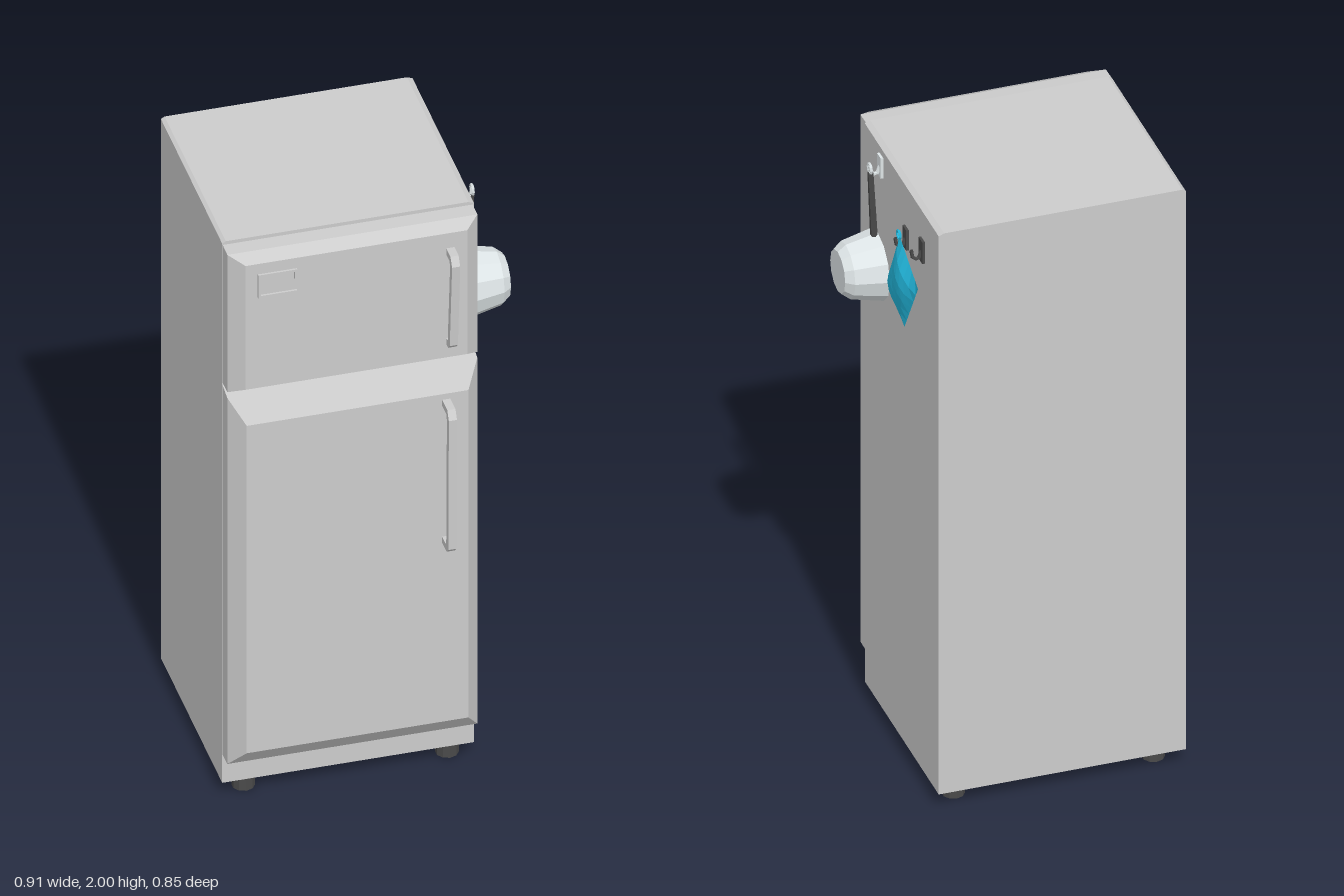
import * as THREE from 'three';

const mat = (color = 0xcccccc) =>
  new THREE.MeshStandardMaterial({ color, flatShading: true, side: THREE.DoubleSide });
const grey = mat(), dark = mat(0x4a4a4a), steel = mat(0xdde4e6), blue = mat(0x22b8dd);

function add(parent, name, geometry, material, x = 0, y = 0, z = 0) {
  const m = new THREE.Mesh(geometry, material);
  m.name = name;
  m.position.set(x, y, z);
  parent.add(m);
  return m;
}

// Closed block through rectangles [z, x0, x1, y0, y1], ordered back to front
function rectLoft(sections) {
  const pos = [], idx = [];
  sections.forEach(([z, x0, x1, y0, y1]) => pos.push(x0, y0, z, x1, y0, z, x1, y1, z, x0, y1, z));
  for (let s = 0; s < sections.length - 1; s++) {
    for (let i = 0; i < 4; i++) {
      const a = s * 4 + i, b = s * 4 + (i + 1) % 4;
      idx.push(a, b, b + 4, a, b + 4, a + 4);
    }
  }
  const e = (sections.length - 1) * 4;
  idx.push(0, 2, 1, 0, 3, 2, e, e + 1, e + 2, e, e + 2, e + 3);
  const g = new THREE.BufferGeometry();
  g.setAttribute('position', new THREE.Float32BufferAttribute(pos, 3));
  g.setIndex(idx);
  g.computeVertexNormals();
  return g;
}

// Flat outline in (z, y), given a width along x
function sideExtrude(points, width) {
  const shape = new THREE.Shape(points.map(([z, y]) => new THREE.Vector2(z, y)));
  return new THREE.ExtrudeGeometry(shape, { depth: width, bevelEnabled: false })
    .translate(0, 0, -width / 2).rotateY(-Math.PI / 2);
}

// Bracket-shaped pull: two posts and a bar with cut corners
function pullHandle(y0, y1, zBase, zBottom, zTop) {
  const t = 0.022, c = 0.018;
  return sideExtrude([
    [zBase, y0], [zBottom - c, y0], [zBottom, y0 + c], [zTop, y1 - c - 0.01], [zTop - c, y1], [zBase, y1],
    [zBase, y1 - t], [zTop - c - 0.01, y1 - t], [zTop - t, y1 - t - c],
    [zBottom - t, y0 + t + 0.006], [zBottom - t - 0.006, y0 + t], [zBase, y0 + t],
  ], 0.025);
}

// Wall hook: back plate and an upturned prong
function wallHook(parent, y, z, h, material) {
  const g = new THREE.Group();
  g.name = 'wallHook';
  g.position.set(0.315, y, z);
  add(g, 'hookPlate', new THREE.BoxGeometry(0.008, h, 0.034), material, 0.004);
  const path = new THREE.CatmullRomCurve3([[0.004, 0], [0.016, -h * 0.35], [0.03, -h * 0.3], [0.036, 0.005]]
    .map(([x, py]) => new THREE.Vector3(x, py, 0)));
  add(g, 'hookProng', new THREE.TubeGeometry(path, 6, 0.006, 5), material);
  parent.add(g);
}

// Puffed cloth: a quilted quadrilateral with a front and a back sheet
function clothGeometry() {
  const n = 6, pos = [], idx = [];
  const [A, B, C, D] = [[1.62, -0.04], [1.835, -0.14], [1.735, -0.29], [1.54, -0.18]];
  for (let side = 0; side < 2; side++) {
    for (let i = 0; i <= n; i++) for (let j = 0; j <= n; j++) {
      const u = i / n, v = j / n;
      const mix = k => (A[k] * (1 - u) + B[k] * u) * (1 - v) + (D[k] * (1 - u) + C[k] * u) * v;
      const y = mix(0), z = mix(1);
      const puff = Math.pow(Math.sin(Math.PI * u) * Math.sin(Math.PI * v), 0.6);
      const fold = 0.004 * Math.sin(7 * u + 4 * v) * puff;
      const mid = 0.339 + (z + 0.16) * 0.04;
      pos.push(mid + (side ? -0.014 * puff : 0.03 * puff + fold), y, z);
    }
    for (let i = 0; i < n; i++) for (let j = 0; j < n; j++) {
      const a = side * (n + 1) ** 2 + i * (n + 1) + j, b = a + n + 1;
      if (side) idx.push(a, b, a + 1, b, b + 1, a + 1);
      else idx.push(a, a + 1, b, b, a + 1, b + 1);
    }
  }
  const g = new THREE.BufferGeometry();
  g.setAttribute('position', new THREE.Float32BufferAttribute(pos, 3));
  g.setIndex(idx);
  g.computeVertexNormals();
  return g;
}

export function createModel() {
  const root = new THREE.Group();
  root.name = 'refrigerator';

  // Cabinet, lofted upwards with a tiny chamfer on the top side edges
  add(root, 'cabinet', rectLoft([
    [0.05, -0.457, 0.315, -0.245, 0.422],
    [1.993, -0.457, 0.315, -0.245, 0.422],
    [2, -0.446, 0.298, -0.245, 0.422],
  ]).rotateX(-Math.PI / 2), grey);

  // Doors with bevelled fronts
  add(root, 'freezerDoor', rectLoft([
    [0.25, -0.457, 0.31, 1.495, 1.992],
    [0.3, -0.457, 0.31, 1.495, 1.99],
    [0.34, -0.412, 0.268, 1.522, 1.968],
  ]), grey);
  add(root, 'mainDoor', rectLoft([
    [0.25, -0.457, 0.31, 0.155, 1.486],
    [0.3, -0.457, 0.31, 0.155, 1.474],
    [0.352, -0.412, 0.268, 0.22, 1.4],
  ]), grey);

  // Pull handles
  add(root, 'freezerHandle', pullHandle(1.57, 1.915, 0.335, 0.378, 0.403), grey, 0.216).rotation.z = 0;
  add(root, 'mainHandle', pullHandle(0.865, 1.38, 0.348, 0.418, 0.425), grey, 0.2);

  // Feet
  for (const x of [-0.38, 0.245]) for (const z of [0.2, -0.35])
    add(root, 'foot', new THREE.CylinderGeometry(0.035, 0.035, 0.055, 10), dark, x, 0.0275, z);

  // Open rectangular trim on the freezer door
  const trim = [[-0.315, 1.927, 0.12, 0.008], [-0.315, 1.852, 0.12, 0.008],
    [-0.371, 1.89, 0.008, 0.08], [-0.259, 1.912, 0.008, 0.03]];
  for (const [x, y, w, h] of trim)
    add(root, 'doorTrim', new THREE.BoxGeometry(w, h, 0.008), grey, x, y, 0.343);

  // Wall hooks
  wallHook(root, 1.935, 0.095, 0.07, steel);
  wallHook(root, 1.82, -0.135, 0.07, dark);
  wallHook(root, 1.862, -0.28, 0.075, dark);

  // Saucepan hanging with its mouth to the wall
  const pan = new THREE.Group();
  pan.name = 'saucepan';
  pan.position.set(0.33, 1.6, 0.085);
  const profile = [[0, 0.115], [0.062, 0.115], [0.08, 0.098], [0.102, 0], [0.11, 0], [0.088, 0.1], [0.068, 0.125], [0, 0.125]]
    .map(([r, h]) => new THREE.Vector2(r, h));
  add(pan, 'panBowl', new THREE.LatheGeometry(profile, 12).rotateZ(-Math.PI / 2), steel);
  const grip = add(pan, 'panHandle', new THREE.CylinderGeometry(0.011, 0.014, 0.22, 6), dark, 0.016, 0.21, 0.004);
  grip.scale.x = 0.8;
  grip.rotation.set(0.03, 0, -0.04);
  add(pan, 'panRing', new THREE.TorusGeometry(0.016, 0.004, 5, 10), steel, 0.022, 0.333, 0.008).rotation.y = Math.PI / 2;
  root.add(pan);

  // Blue pot holder and its hanging loop
  add(root, 'potHolder', clothGeometry(), blue);
  add(root, 'potHolderLoop', new THREE.TorusGeometry(0.014, 0.004, 5, 8), blue, 0.341, 1.836, -0.137).rotation.y = Math.PI / 2;

  return root;
}
